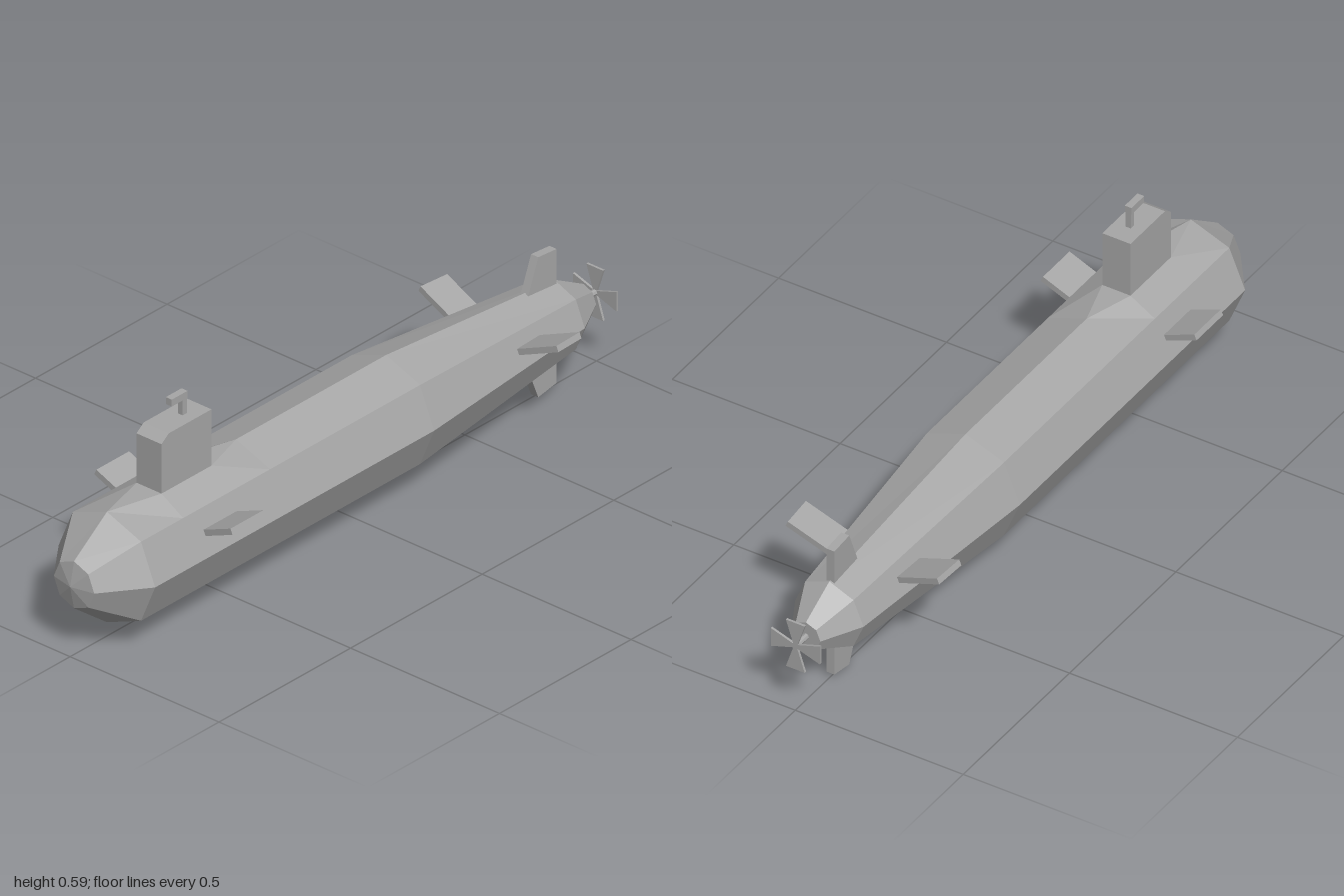
import * as THREE from 'three';

const CY = 0.202; // height of the hull axis

// Octagonal hull; each ring is [z, radius, half width of flat deck on top]
function hullGeometry() {
  const rings = [
    [1.0, 0, 0], [0.985, 0.068, 0], [0.86, 0.162, 0], [0.7, 0.162, 0.042], [0.51, 0.162, 0.042],
    [0.37, 0.162, 0], [-0.2, 0.162, 0], [-0.84, 0.102, 0], [-0.95, 0.043, 0], [-0.95, 0, 0],
  ];
  const ringPoints = ([z, r, deck]) => {
    const pts = [];
    for (let i = 0; i < 8; i++) {
      const a = i * Math.PI / 4;
      const x = Math.cos(a) * r, y = CY + Math.sin(a) * r;
      if (i === 2) {
        const top = Math.min(y, 0.36);
        pts.push([deck, top, z], [-deck, top, z]);
      } else pts.push([x, y, z]);
    }
    return pts;
  };
  const loops = rings.map(ringPoints);
  const positions = [];
  const triangle = (...corners) => {
    const [a, b, c] = corners.map((p) => new THREE.Vector3(...p));
    if (b.clone().sub(a).cross(c.clone().sub(a)).length() > 1e-8) corners.forEach((p) => positions.push(...p));
  };
  for (let i = 0; i < loops.length - 1; i++) {
    const n = loops[i].length;
    for (let j = 0; j < n; j++) {
      const k = (j + 1) % n;
      const a = loops[i][j], b = loops[i][k], c = loops[i + 1][j], d = loops[i + 1][k];
      triangle(a, c, b);
      triangle(b, c, d);
    }
  }
  const geometry = new THREE.BufferGeometry();
  geometry.setAttribute('position', new THREE.Float32BufferAttribute(positions, 3));
  geometry.computeVertexNormals();
  return geometry;
}

// Side outline of [z, y] points extruded across x
function sideProfile(points, width) {
  const shape = new THREE.Shape(points.map(([z, y]) => new THREE.Vector2(-z, y)));
  const geometry = new THREE.ExtrudeGeometry(shape, { depth: width, bevelEnabled: false });
  geometry.translate(0, 0, -width / 2);
  geometry.rotateY(Math.PI / 2);
  return geometry;
}

export function createModel() {
  const model = new THREE.Group();
  const grey = new THREE.MeshStandardMaterial({ color: 0xa6a6a6 });
  grey.name = 'hull grey';
  grey.flatShading = true;

  const add = (name, geometry, parent = model) => {
    const mesh = new THREE.Mesh(geometry, grey);
    mesh.name = name;
    parent.add(mesh);
    return mesh;
  };
  const box = (name, w, h, d, x, y, z) => {
    const mesh = add(name, new THREE.BoxGeometry(w, h, d));
    mesh.position.set(x, y, z);
    return mesh;
  };

  add('hull', hullGeometry());

  // Conning tower with chamfered leading edge
  add('conningTower', sideProfile([[0.7, 0.34], [0.7, 0.503], [0.672, 0.523], [0.51, 0.523], [0.51, 0.34]], 0.084));

  // Periscope
  box('periscopeMast', 0.016, 0.06, 0.016, 0, 0.548, 0.573);
  box('periscopeHead', 0.02, 0.02, 0.06, 0, 0.578, 0.595);

  // Diving planes, angled up from the hull
  for (const side of [1, -1]) {
    const label = side > 0 ? 'left' : 'right';
    const planes = [['BowPlane', 0.125, 0.583, 0], ['SternPlane', 0.095, -0.632, 0.07]];
    for (const [name, chord, z, yaw] of planes) {
      const plane = box(label + name, 0.14, 0.017, chord, side * 0.164, 0.27, z);
      plane.rotation.set(0, side * yaw, side * Math.PI / 8);
      plane.rotation.order = 'ZYX';
    }
  }

  // Rudders
  add('upperRudder', sideProfile([[-0.715, 0.28], [-0.765, 0.406], [-0.835, 0.4], [-0.835, 0.28]], 0.024));
  add('lowerRudder', sideProfile([[-0.715, 0.124], [-0.835, 0.124], [-0.835, 0.012], [-0.765, 0]].reverse(), 0.024));

  // Propeller: shaft and four flaring blades
  const propeller = new THREE.Group();
  propeller.name = 'propeller';
  propeller.position.set(0, CY, 0);
  model.add(propeller);
  const shaft = add('propellerShaft', new THREE.CylinderGeometry(0.009, 0.009, 0.05, 8), propeller);
  shaft.rotation.x = Math.PI / 2;
  shaft.position.z = -0.973;
  const bladeShape = new THREE.Shape([[-0.004, 0], [0.004, 0], [0.028, 0.073], [-0.028, 0.073]]
    .map(([x, y]) => new THREE.Vector2(x, y)));
  const blade = new THREE.ExtrudeGeometry(bladeShape, { depth: 0.007, bevelEnabled: false });
  for (let i = 0; i < 4; i++) {
    const mesh = add('propellerBlade', blade, propeller);
    mesh.position.z = -1;
    mesh.rotation.z = i * Math.PI / 2;
  }
  return model;
}
